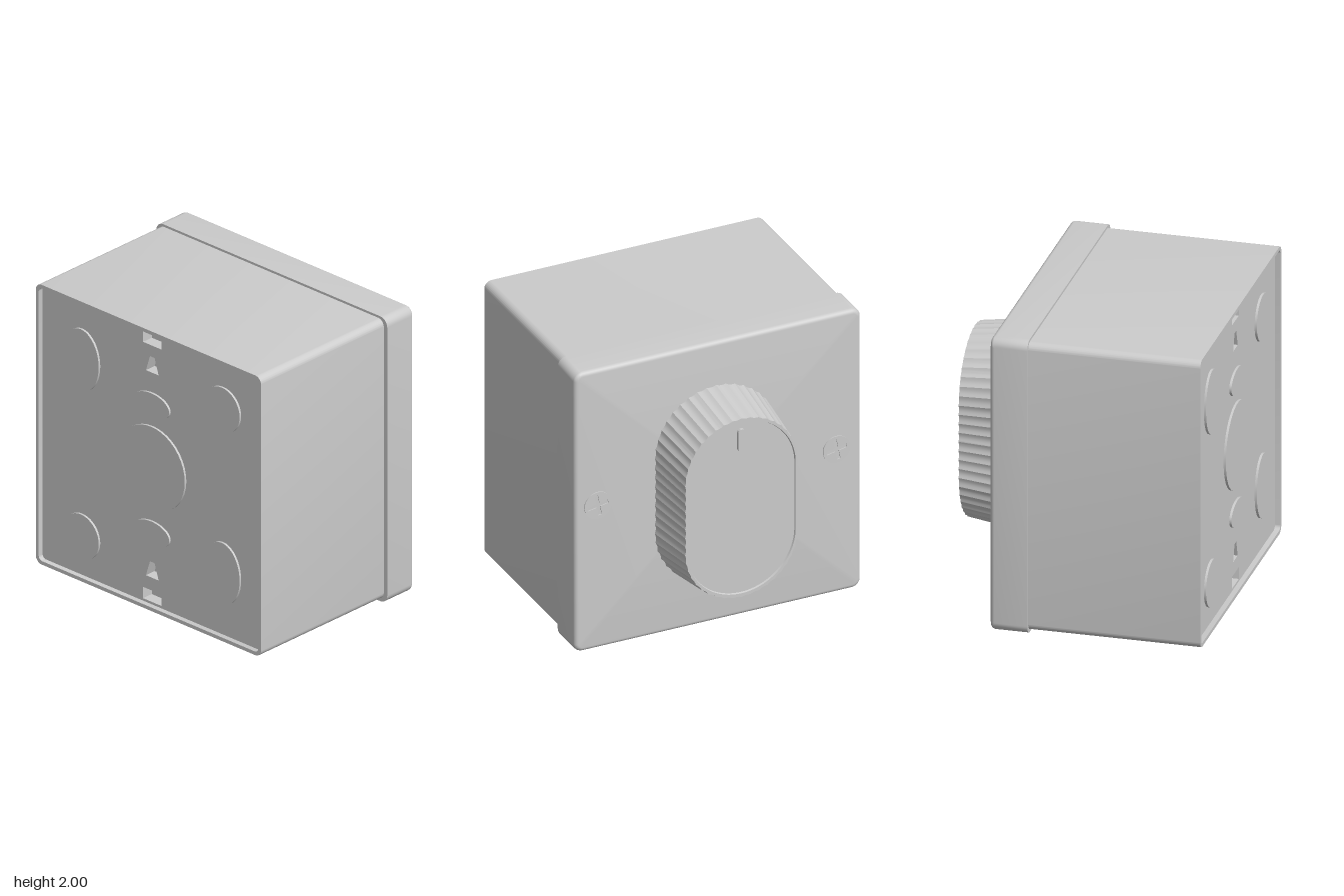
import * as THREE from 'three';
import { toCreasedNormals } from 'three/addons/utils/BufferGeometryUtils.js';

const mat = new THREE.MeshStandardMaterial({ color: 0xcccccc });

// Rounded rectangle (half sizes w, h) as a shape; r = w gives a stadium
function roundRect(w, h, r, T = THREE.Shape) {
  const s = new T();
  s.moveTo(w, -h + r);
  s.lineTo(w, h - r);
  s.absarc(w - r, h - r, r, 0, Math.PI / 2, false);
  s.lineTo(-w + r, h);
  s.absarc(-w + r, h - r, r, Math.PI / 2, Math.PI, false);
  s.lineTo(-w, -h + r);
  s.absarc(-w + r, -h + r, r, Math.PI, Math.PI * 1.5, false);
  s.lineTo(w - r, -h);
  s.absarc(w - r, -h + r, r, Math.PI * 1.5, Math.PI * 2, false);
  return s;
}

// Joins rings of [x, y, z] points and closes both ends with a fan
function loft(rings, crease = 0.5) {
  const n = rings[0].length, last = rings.length - 1;
  const pos = rings.flat(2), idx = [];
  pos.push(0, 0, rings[0][0][2], 0, 0, rings[last][0][2]);
  const a = rings.length * n;
  for (let i = 0; i < n; i++) {
    const j = (i + 1) % n;
    for (let k = 0; k < last; k++) {
      const p = k * n, q = p + n;
      idx.push(p + i, p + j, q + j, p + i, q + j, q + i);
    }
    idx.push(a, j, i, a + 1, last * n + i, last * n + j);
  }
  const g = new THREE.BufferGeometry();
  g.setAttribute('position', new THREE.Float32BufferAttribute(pos, 3));
  g.setIndex(idx);
  return toCreasedNormals(g, crease);
}

function extrude(shape, depth, curveSegments = 20) {
  const g = new THREE.ExtrudeGeometry(shape, { depth, bevelEnabled: false, curveSegments });
  return toCreasedNormals(g, 0.5);
}

// Ring of a rounded rectangle, with the corner arcs evenly divided
function rectRing(w, h, r, z) {
  const ring = [];
  [[1, 1], [-1, 1], [-1, -1], [1, -1]].forEach(([sx, sy], c) => {
    for (let i = 0; i <= 8; i++) {
      const t = (c + i / 8) * Math.PI / 2;
      ring.push([sx * (w - r) + r * Math.cos(t), sy * (h - r) + r * Math.sin(t), z]);
    }
  });
  return ring;
}

// Stadium ring pushed in and out along its normals to form grip flutes
function fluteRing(w, h, z, amp) {
  const n = 336;
  return roundRect(w, h, w).getSpacedPoints(n).slice(0, n).map((p, i) => {
    const cy = THREE.MathUtils.clamp(p.y, w - h, h - w);
    const k = 1 - amp * Math.abs(Math.sin(i / n * Math.PI * 56)) / w;
    return [p.x * k, cy + (p.y - cy) * k, z];
  });
}

export function createModel() {
  const model = new THREE.Group();
  model.name = 'rotarySwitch';
  // Parts are made facing +z, then turned to face +x
  const unit = new THREE.Group();
  unit.name = 'switchUnit';
  unit.rotation.y = Math.PI / 2;
  model.add(unit);

  function add(name, geo, x, y, z = 0, parent = unit) {
    const m = new THREE.Mesh(geo, mat);
    m.name = name;
    m.position.set(x, y, z);
    parent.add(m);
    return m;
  }

  // Housing: sleeve with a thin rim around the recessed back
  const sleeve = roundRect(0.975, 0.982, 0.05);
  sleeve.holes.push(roundRect(0.95, 0.957, 0.03, THREE.Path));
  add('housing', extrude(sleeve, 1.13, 8), 0.005, 1.002, -0.875);

  // Back panel with two mounting slots and two keyholes, and its core
  const back = roundRect(0.955, 0.962, 0.03);
  for (const s of [1, -1]) {
    const slot = new THREE.Path();
    const y = 0.9 * s;
    slot.moveTo(-0.08, y - 0.04).lineTo(0.08, y - 0.04).lineTo(0.08, y + 0.04).lineTo(-0.08, y + 0.04).closePath();
    const key = new THREE.Path();
    const k = 0.72 * s;
    key.moveTo(-0.055, k - 0.05).lineTo(0.055, k - 0.05).lineTo(0.02, k + 0.06).lineTo(-0.02, k + 0.06).closePath();
    back.holes.push(slot, key);
  }
  add('backPanel', extrude(back, 0.08, 8), 0.005, 1.002, -0.84);
  add('core', new THREE.BoxGeometry(1.9, 1.9, 1), 0.005, 1.002, -0.26);

  // Raised knockouts on the back: z, y, half width, half height
  const knockouts = [
    [-0.61, 1.56, 0.155, 0.215], [0.61, 1.63, 0.155, 0.155],
    [0.61, 0.48, 0.155, 0.215], [-0.61, 0.32, 0.155, 0.155],
    [0, 1.01, 0.29, 0.29], [0, 1.45, 0.155, 0.085], [0, 0.55, 0.155, 0.085],
  ];
  for (const [z, y, w, h] of knockouts) {
    const s = new THREE.Shape().absellipse(0, 0, w, h, 0, Math.PI * 2, false);
    add('knockout', extrude(s, 0.03), -z, y, -0.855);
  }

  // Front cover with rounded front edge
  const cover = [rectRing(1, 1, 0.06, 0.245)];
  for (let i = 0; i <= 6; i++) {
    const t = i / 6 * Math.PI / 2, inset = 0.03 * (1 - Math.cos(t));
    cover.push(rectRing(1 - inset, 1 - inset, 0.06 - inset, 0.46 + 0.03 * Math.sin(t)));
  }
  add('frontCover', loft(cover), 0, 1);

  // Tapered fluted knob with a rim and a sunken face
  add('knob', loft([
    fluteRing(0.427, 0.697, 0.485, 0.008),
    fluteRing(0.394, 0.64, 0.86, 0.006),
    fluteRing(0.378, 0.614, 0.86, 0),
    fluteRing(0.374, 0.61, 0.848, 0),
  ]), -0.015, 0.995);
  add('pointer', extrude(roundRect(0.027, 0.08, 0.027), 0.03), -0.015, 1.48, 0.84);

  // Cross-slotted screws
  const head = new THREE.Shape().absarc(0, 0, 0.094, 0, Math.PI * 2, false);
  const cross = new THREE.Path();
  const a = 0.072, b = 0.013;
  cross.setFromPoints([[a, -b], [a, b], [b, b], [b, a], [-b, a], [-b, b], [-a, b], [-a, -b],
    [-b, -b], [-b, -a], [b, -a], [b, -b]].map(p => new THREE.Vector2(...p)));
  cross.closePath();
  head.holes.push(cross);
  const headGeo = extrude(head, 0.015);
  for (const x of [-0.84, 0.825]) {
    add('screw', headGeo, x, 1.03, 0.482).rotation.z = 0.2;
  }
  return model;
}
